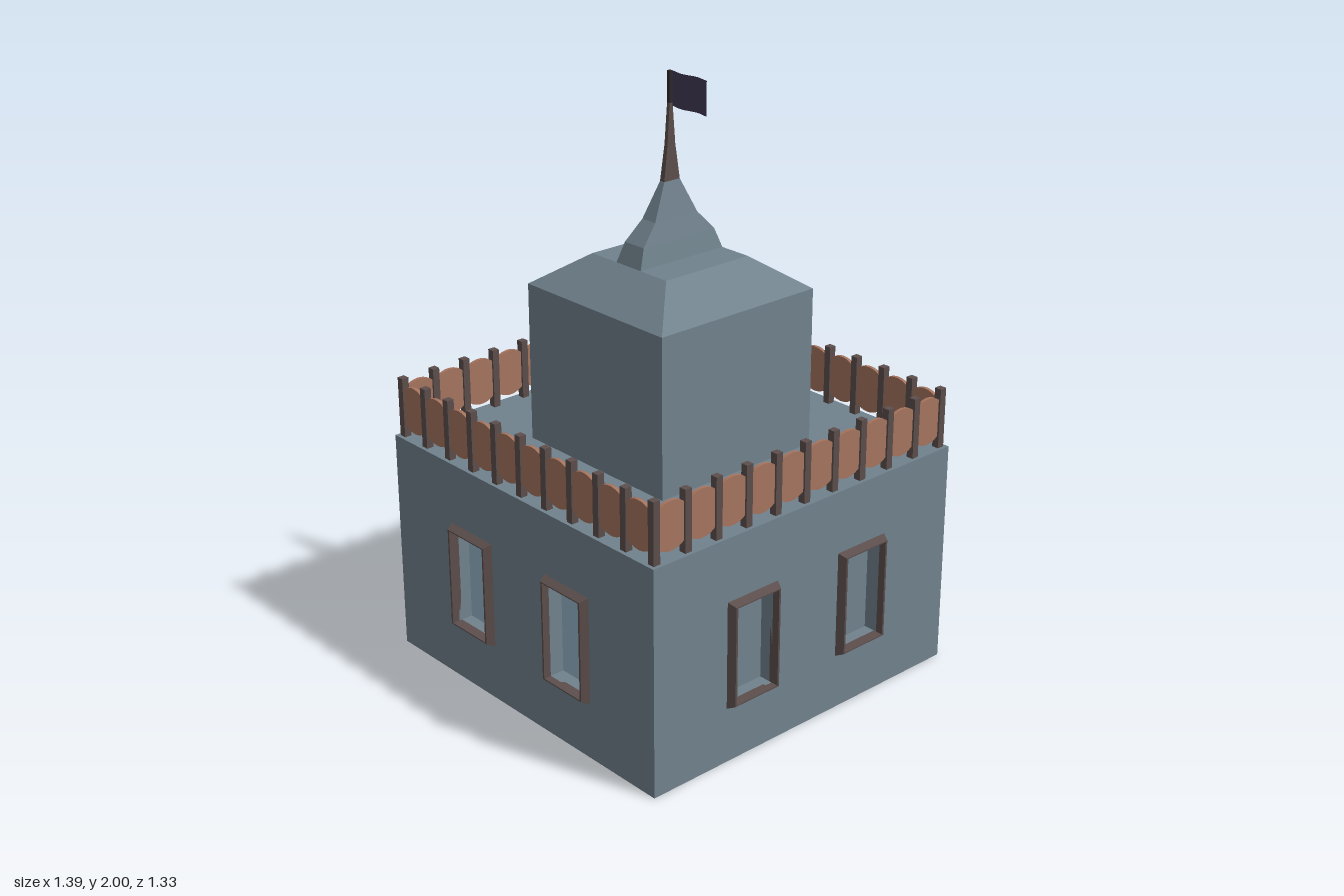
import * as THREE from 'three';

const mat = (name, color, side = THREE.FrontSide) => {
  const m = new THREE.MeshStandardMaterial({ color, side, flatShading: true });
  m.name = name;
  return m;
};

// Skin over a stack of rectangles [x0, y0, x1, y1, z], with an optional end cap
function loft(rings, cap = false) {
  const pos = [];
  const corners = ([x0, y0, x1, y1, z]) => [[x0, y0, z], [x1, y0, z], [x1, y1, z], [x0, y1, z]];
  const quad = (a, b, c, d) => pos.push(...a, ...b, ...c, ...a, ...c, ...d);
  for (let i = 0; i < rings.length - 1; i++) {
    const p = corners(rings[i]), q = corners(rings[i + 1]);
    for (let j = 0; j < 4; j++) quad(p[j], p[(j + 1) % 4], q[(j + 1) % 4], q[j]);
  }
  if (cap) quad(...corners(rings[rings.length - 1]));
  const g = new THREE.BufferGeometry();
  g.setAttribute('position', new THREE.Float32BufferAttribute(pos, 3));
  g.computeVertexNormals();
  return g;
}
const centred = (hw, hh, z) => [-hw, -hh, hw, hh, z];

// Rectangle outline with optional rounded top corners
function outline(path, x0, y0, x1, y1, r = 0) {
  path.moveTo(x0, y0);
  path.lineTo(x1, y0);
  path.lineTo(x1, y1 - r);
  if (r) path.quadraticCurveTo(x1, y1, x1 - r, y1);
  path.lineTo(x0 + r, y1);
  if (r) path.quadraticCurveTo(x0, y1, x0, y1 - r);
  path.closePath();
  return path;
}

// Wall with openings, its outer face on z = 0
function wallGeometry(w, h, t, holes) {
  const s = outline(new THREE.Shape(), -w / 2, 0, w / 2, h);
  holes.forEach(o => s.holes.push(outline(new THREE.Path(), ...o)));
  return new THREE.ExtrudeGeometry(s, { depth: t, bevelEnabled: false }).translate(0, 0, -t);
}

export function createModel() {
  const root = new THREE.Group();
  root.name = 'tower house';
  const stone = mat('blue grey stone', 0x71828d);
  const wood = mat('dark wood', 0x5c4e4c);
  const plank = mat('orange brown wood', 0xa6745e);
  const glass = mat('pale blue glass', 0x93b5c8);
  const stepStone = mat('step stone', 0x6a828d);
  const cloth = mat('purple cloth', 0x403a55, THREE.DoubleSide);
  const poleMat = mat('black iron', 0x2c2628);

  const add = (parent, name, geo, m, x = 0, y = 0, z = 0) => {
    const mesh = new THREE.Mesh(geo, m);
    mesh.name = name;
    mesh.position.set(x, y, z);
    parent.add(mesh);
    return mesh;
  };
  const box = (w, h, d) => new THREE.BoxGeometry(w, h, d);
  const house = new THREE.Group();
  house.name = 'house';
  house.position.set(-0.0325, 0, -0.0025);
  root.add(house);

  const H = 0.77, R = 0.6375, T = 0.09;

  // Window frame, tapering outwards
  const windowFrame = loft([
    centred(0.105, 0.183, 0), centred(0.093, 0.171, 0.026),
    centred(0.086, 0.167, 0.026), centred(0.086, 0.167, -0.01),
  ]);
  // Barrel-shaped railing panel: a disc cut off at both sides
  const a = Math.acos(0.051 / 0.08);
  const disc = new THREE.Shape();
  disc.absarc(0, 0, 0.08, a, Math.PI - a, false);
  disc.absarc(0, 0, 0.08, Math.PI + a, 2 * Math.PI - a, false);
  disc.closePath();
  const railPanel = new THREE.ExtrudeGeometry(disc, { depth: 0.012, bevelEnabled: false, curveSegments: 8 });
  railPanel.translate(0, 0, -0.006);
  const railPost = box(0.025, 0.205, 0.025);

  // Four sides: wall, windows or door, railing
  const sides = [
    { name: 'front', turn: 0, windows: [-0.2375, 0.2375], y: 0.373, pane: stone },
    { name: 'back', turn: Math.PI, windows: [-0.2575, 0.2175], y: 0.381, pane: glass },
    { name: 'right', turn: -Math.PI / 2, windows: [-0.2375, 0.2375], y: 0.376, pane: glass },
    { name: 'left', turn: Math.PI / 2, windows: [], door: true },
  ];
  for (const s of sides) {
    const side = new THREE.Group();
    side.name = s.name + ' side';
    side.rotation.y = s.turn;
    house.add(side);
    const wide = Math.abs(Math.sin(s.turn)) < 0.5;
    const holes = s.windows.map(x => [x - 0.086, s.y - 0.167, x + 0.086, s.y + 0.167]);
    if (s.door) holes.push([-0.135, 0.01, 0.135, 0.6]);
    add(side, s.name + ' wall', wallGeometry(wide ? 2 * R : 2 * (R - T), H, T, holes), stone, 0, 0, R);
    for (const x of s.windows) {
      add(side, 'window frame', windowFrame, wood, x, s.y, R);
      add(side, 'window pane', box(0.172, 0.334, 0.01), s.pane, x, s.y, R - 0.055);
    }
    if (s.door) {
      const frame = [[0.2, 0.745, 0], [0.165, 0.705, 0.031], [0.135, 0.6, 0.031], [0.135, 0.6, -0.03]];
      add(side, 'door frame', loft(frame.map(([w, h, z]) => [-w, 0, w, h, z])), wood, 0, 0, R);
      add(side, 'door', box(0.27, 0.59, 0.02), plank, 0, 0.305, R - 0.035);
      add(side, 'lower step', box(0.27, 0.03, 0.12), stepStone, 0, 0.015, R + 0.025);
      add(side, 'upper step', box(0.268, 0.025, 0.08), stepStone, 0, 0.0425, R + 0.01);
    }
    for (let i = 0; i < 10; i++) {
      const x = -0.6125 + i * 0.1225;
      add(side, 'railing post', railPost, wood, x, 0.8725, 0.6125);
      add(side, 'railing panel', railPanel, plank, x + 0.06125, 0.875, 0.6125);
    }
  }
  add(house, 'terrace', box(2 * (R - T), 0.04, 2 * (R - T)), stone, 0, H - 0.02, 0);

  // Upper room with a recessed door
  const upper = new THREE.Group();
  upper.name = 'upper room';
  upper.position.y = H;
  house.add(upper);
  const U = 0.3185, UH = 0.535;
  add(upper, 'room body', box(2 * U - 0.04, UH, 2 * U), stone, -0.02, UH / 2, 0);
  const doorWall = wallGeometry(2 * U, UH, 0.04, [[-0.1075, 0.005, 0.1075, 0.42, 0.018]]);
  add(upper, 'room door wall', doorWall, stone, U, 0, 0).rotation.y = Math.PI / 2;
  add(upper, 'room door', box(0.008, 0.42, 0.22), plank, U - 0.037, 0.212, 0);

  // Roof, spire and tip, stacked upwards from rectangles [half x, half z, height]
  const stack = (name, rows, m) =>
    add(house, name, loft(rows.map(r => centred(...r)), true).rotateX(-Math.PI / 2), m);
  stack('roof', [[U, U, 1.305], [0.172, 0.174, 1.41]], stone);
  stack('spire', [[0.172, 0.057, 1.41], [0.148, 0.044, 1.475], [0.088, 0.03, 1.54], [0.032, 0.01, 1.655]], stone);
  stack('spire tip', [[0.032, 0.01, 1.655], [0.016, 0.007, 1.77], [0.006, 0.006, 1.9]], wood);
  add(house, 'flagpole', box(0.012, 0.12, 0.012), poleMat, 0, 1.94, 0);

  // Waving flag
  const flag = new THREE.PlaneGeometry(0.165, 0.11, 8, 1).rotateY(-Math.PI / 2);
  const p = flag.attributes.position;
  for (let i = 0; i < p.count; i++) p.setX(i, 0.005 * Math.sin(p.getZ(i) * 55));
  flag.computeVertexNormals();
  add(house, 'flag', flag, cloth, 0, 1.945, 0.0875);

  return root;
}
